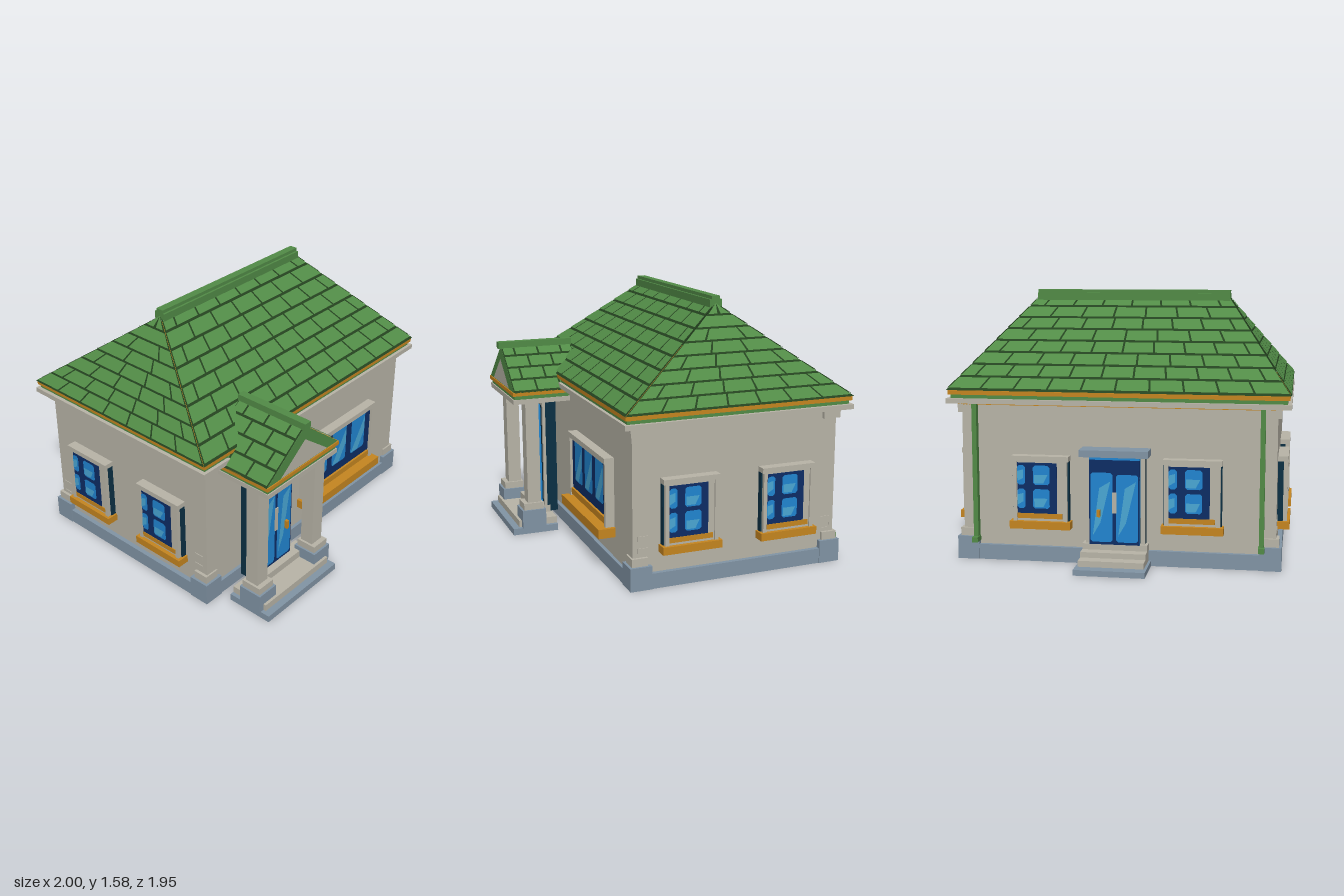
import * as THREE from 'three';

const mat = (name, color, side = THREE.FrontSide) => {
  const m = new THREE.MeshStandardMaterial({ color, side });
  m.name = name;
  return m;
};
const M = {
  wall: mat('stone', 0xb9b5a8),
  plinth: mat('blue grey stone', 0x8295a6),
  tile: mat('roof green', 0x528c47, THREE.DoubleSide),
  joint: mat('dark roof joint', 0x24421f, THREE.DoubleSide),
  orange: mat('ochre trim', 0xc68620),
  navy: mat('navy glass', 0x0d2d66),
  shade: mat('dark teal reveal', 0x0b3044),
  blue: mat('blue glass', 0x2186d2),
  light: mat('light blue glint', 0x4aa8d6),
};
const v = (x, y, z) => new THREE.Vector3(x, y, z);

function add(parent, name, geo, material) {
  const mesh = new THREE.Mesh(geo, material);
  mesh.name = name;
  parent.add(mesh);
  return mesh;
}
// Box given by its two extreme corners
function box(parent, name, material, x0, x1, y0, y1, z0, z1) {
  const m = add(parent, name, new THREE.BoxGeometry(x1 - x0, y1 - y0, z1 - z0), material);
  m.position.set((x0 + x1) / 2, (y0 + y1) / 2, (z0 + z1) / 2);
  return m;
}
function group(parent, name) {
  const g = new THREE.Group();
  g.name = name;
  parent.add(g);
  return g;
}
// Flat polygon facing +z
function plate(parent, name, material, pts, z) {
  const s = new THREE.Shape(pts.map(([x, y]) => new THREE.Vector2(x, y)));
  add(parent, name, new THREE.ShapeGeometry(s), material).position.z = z;
}
// Glass pane with clipped corners
function pane(parent, x0, x1, y0, y1, z) {
  const c = 0.012;
  plate(parent, 'pane', M.blue, [[x0 + c, y0], [x1 - c, y0], [x1, y0 + c], [x1, y1 - c],
    [x1 - c, y1], [x0 + c, y1], [x0, y1 - c], [x0, y0 + c]], z);
}
function quads(list) {
  const pos = [];
  for (const [a, b, c, d] of list) for (const p of [a, b, c, a, c, d]) pos.push(p.x, p.y, p.z);
  const g = new THREE.BufferGeometry();
  g.setAttribute('position', new THREE.Float32BufferAttribute(pos, 3));
  g.computeVertexNormals();
  return g;
}
// Tiled slope: a and b are the lower corners, c and d the upper right and upper left
function slope(parent, name, a, b, c, d, rows, tileWidth) {
  const n = b.clone().sub(a).cross(d.clone().sub(a)).normalize();
  const at = (u, t, h) => a.clone().lerp(b, u).lerp(d.clone().lerp(c, u), t).addScaledVector(n, h);
  const tiles = [];
  const low = a.distanceTo(b), high = d.distanceTo(c), run = a.distanceTo(d);
  for (let r = 0; r < rows; r++) {
    const t0 = (r + 0.14) / rows, t1 = (r + 1) / rows;
    const w = low + (high - low) * (r + 0.5) / rows;
    const count = Math.max(1, Math.round(w / tileWidth));
    const g = 0.006 / w;
    const shift = r % 2 ? 0.5 : 0;
    for (let k = 0; k < count + (shift ? 1 : 0); k++) {
      const u0 = Math.max(0, (k - shift) / count) + g;
      const u1 = Math.min(1, (k + 1 - shift) / count) - g;
      if (u1 > u0) tiles.push([at(u0, t0, 0.008), at(u1, t0, 0.008), at(u1, t1, 0.005), at(u0, t1, 0.005)]);
    }
  }
  add(parent, name + 'Joints', quads([[at(0, 0, 0.002), at(1, 0, 0.002), at(1, 1, 0.002), at(0, 1, 0.002)]]), M.joint);
  add(parent, name + 'Tiles', quads(tiles), M.tile);
}

// Small window facing +z, its back on z = 0
function smallWindow(parent, name) {
  const g = group(parent, name);
  box(g, 'reveal', M.shade, -0.168, 0.168, 0.25, 0.61, 0, 0.035);
  box(g, 'frame', M.wall, -0.16, 0.16, 0.25, 0.61, 0.03, 0.05);
  box(g, 'lintel', M.wall, -0.17, 0.17, 0.605, 0.635, 0, 0.062);
  for (const s of [-1, 1]) box(g, 'jamb', M.wall, s * 0.15 - 0.011, s * 0.15 + 0.011, 0.25, 0.61, 0.04, 0.06);
  box(g, 'sill', M.orange, -0.18, 0.18, 0.205, 0.25, 0, 0.075);
  box(g, 'innerSill', M.orange, -0.136, 0.13, 0.265, 0.295, 0.045, 0.056);
  box(g, 'glass', M.navy, -0.136, 0.1, 0.295, 0.595, 0.045, 0.053);
  for (const y of [0.325, 0.465]) {
    pane(g, -0.136, -0.088, y, y + 0.115, 0.055);
    pane(g, -0.042, 0.057, y, y + 0.115, 0.055);
    plate(g, 'glint', M.light, [[-0.135, y + 0.02], [-0.1, y + 0.04], [-0.1, y + 0.09], [-0.135, y + 0.08]], 0.057);
    plate(g, 'glint', M.light, [[-0.035, y + 0.01], [0.02, y + 0.01], [0.045, y + 0.06], [-0.035, y + 0.06]], 0.057);
  }
  return g;
}
// Glazed door face centred on x = 0, facing +z at depth z
function doorFace(parent, w, y0, y1, z) {
  const g = group(parent, 'doorLeaf');
  box(g, 'doorEdge', M.blue, -w, w, y0, y1, z - 0.022, z);
  box(g, 'doorFace', M.navy, -w, w, y0, y1 - 0.02, z - 0.004, z + 0.002);
  const h = y1 - y0, top = y0 + h * 0.8;
  for (const s of [-1, 1]) {
    const x0 = s < 0 ? -w + 0.008 : 0.01, x1 = s < 0 ? -0.01 : w - 0.008, d = x1 - x0;
    pane(g, x0, x1, y0 + 0.015, top + (s < 0 ? 0.01 : 0), z + 0.004);
    plate(g, 'glint', M.light, [[x0 + d * 0.1, y0 + h * 0.1], [x0 + d * 0.45, y0 + h * 0.25],
      [x0 + d * 0.9, top - 0.04], [x0 + d * 0.4, top - 0.08]], z + 0.006);
  }
  box(g, 'pull', M.wall, -0.013, 0.013, y0 + h * 0.36, y0 + h * 0.6, z, z + 0.008);
  box(g, 'handle', M.orange, w * 0.55, w * 0.68, y0 + h * 0.32, y0 + h * 0.4, z, z + 0.025);
  return g;
}

function walls(house) {
  const g = group(house, 'walls');
  box(g, 'plinth', M.plinth, -0.95, 0.95, 0, 0.09, -0.715, 0.6);
  box(g, 'wallBlock', M.wall, -0.922, 0.922, 0.09, 0.945, -0.69, 0.58);
  for (const sx of [-1, 1]) for (const [z, sz] of [[0.6, 1], [-0.715, -1]]) {
    // Corner block: x and z run inwards from the outer corner
    const corner = (name, m, inset, len, y0, y1) => {
      const xs = [sx * (0.955 - inset), sx * (0.955 - len)].sort((p, q) => p - q);
      const zs = [z + sz * (0.005 - inset), z + sz * (0.005 - len)].sort((p, q) => p - q);
      box(g, name, m, xs[0], xs[1], y0, y1, zs[0], zs[1]);
    };
    corner('cornerPlinth', M.plinth, 0, 0.13, 0, 0.137);
    corner('cornerFoot', M.wall, 0.015, 0.11, 0.137, 0.185);
    corner('cornerCapital', M.wall, 0.012, 0.12, 0.88, 0.928);
    for (const y of [0.21, 0.28])
      box(g, 'cornerStone', M.wall, sx > 0 ? 0.92 : -0.926, sx > 0 ? 0.926 : -0.92, y, y + 0.028, z - sz * 0.11, z - sz * 0.05);
  }
  box(g, 'topBand', M.orange, -0.945, 0.945, 0.925, 0.94, -0.708, 0.598);
  // Drainpipes at the back
  for (const s of [-1, 1]) {
    box(g, 'drainpipe', M.tile, s * 0.84 - 0.014, s * 0.84 + 0.014, 0.13, 0.94, -0.73, -0.69);
    box(g, 'drainFoot', M.tile, s * 0.84 - 0.018, s * 0.84 + 0.018, 0.11, 0.14, -0.76, -0.69);
  }
}

function mainRoof(house) {
  const g = group(house, 'mainRoof');
  box(g, 'cornice', M.wall, -0.998, 0.998, 0.936, 0.965, -0.762, 0.645);
  box(g, 'gutter', M.tile, -0.975, 0.975, 0.965, 0.987, -0.742, 0.625);
  box(g, 'eaveBand', M.orange, -0.988, 0.988, 0.987, 1.012, -0.755, 0.638);
  const y = 1.012, zf = 0.642, zb = -0.76;
  const p = [v(-0.995, y, zf), v(0.995, y, zf), v(0.995, y, zb), v(-0.995, y, zb)];
  const l = v(-0.6, 1.535, -0.058), r = v(0.6, 1.535, -0.058);
  slope(g, 'front', p[0], p[1], r, l, 8, 0.185);
  slope(g, 'right', p[1], p[2], r, r, 8, 0.185);
  slope(g, 'back', p[2], p[3], l, r, 8, 0.185);
  slope(g, 'left', p[3], p[0], l, l, 8, 0.185);
  box(g, 'ridgeCap', M.tile, -0.605, 0.605, 1.515, 1.56, -0.096, -0.02);
  box(g, 'ridgeTop', M.tile, -0.605, 0.605, 1.56, 1.58, -0.083, -0.033);
}

function porch(house) {
  const g = group(house, 'porch');
  g.position.x = -0.515;
  box(g, 'slab', M.plinth, -0.315, 0.315, 0, 0.042, 0.68, 0.973);
  box(g, 'floor', M.wall, -0.29, 0.29, 0.042, 0.085, 0.68, 0.93);
  box(g, 'doorStep', M.wall, -0.18, 0.18, 0.085, 0.13, 0.69, 0.8);
  for (const s of [-1, 1]) {
    const c = group(g, 'column');
    c.position.x = s * 0.252;
    box(c, 'pedestal', M.plinth, -0.072, 0.072, 0.042, 0.157, 0.76, 0.913);
    box(c, 'columnFoot', M.wall, -0.06, 0.06, 0.157, 0.2, 0.772, 0.9);
    box(c, 'shaft', M.wall, -0.045, 0.045, 0.2, 0.86, 0.785, 0.87);
  }
  // Front door
  box(g, 'doorReveal', M.shade, -0.178, 0.178, 0.09, 0.86, 0.64, 0.712);
  for (const s of [-1, 1]) box(g, 'doorFrame', M.wall, s * 0.168 - 0.012, s * 0.168 + 0.012, 0.13, 0.85, 0.71, 0.728);
  box(g, 'doorHead', M.wall, -0.18, 0.18, 0.8, 0.85, 0.71, 0.728);
  doorFace(g, 0.142, 0.13, 0.8, 0.753);
  // Entablature and gabled roof
  box(g, 'beam', M.wall, -0.305, 0.305, 0.85, 0.88, 0.58, 0.945);
  box(g, 'beamBand', M.tile, -0.3, 0.3, 0.88, 0.905, 0.58, 0.938);
  box(g, 'beamTrim', M.orange, -0.315, 0.315, 0.905, 0.928, 0.58, 0.95);
  const tri = new THREE.Shape([new THREE.Vector2(-0.315, 0.925), new THREE.Vector2(0.315, 0.925), new THREE.Vector2(0, 1.175)]);
  add(g, 'gable', new THREE.ExtrudeGeometry(tri, { depth: 0.46, bevelEnabled: false }), M.tile).position.z = 0.483;
  plate(g, 'pediment', M.wall, [[-0.205, 0.935], [0.205, 0.935], [0, 1.092]], 0.948);
  const top = (z) => v(0, 1.175, z);
  slope(g, 'porchRight', v(0.315, 0.925, 0.943), v(0.315, 0.925, 0.483), top(0.483), top(0.943), 4, 0.155);
  slope(g, 'porchLeft', v(-0.315, 0.925, 0.483), v(-0.315, 0.925, 0.943), top(0.943), top(0.483), 4, 0.155);
  box(g, 'porchRidge', M.tile, -0.024, 0.024, 1.16, 1.203, 0.48, 0.963);
}

function frontWindow(house) {
  const g = group(house, 'frontWindow');
  box(g, 'frame', M.wall, -0.075, 0.625, 0.275, 0.66, 0.575, 0.615);
  box(g, 'lintel', M.wall, -0.075, 0.625, 0.655, 0.688, 0.575, 0.64);
  for (const x of [-0.075, 0.6]) box(g, 'jamb', M.wall, x, x + 0.025, 0.275, 0.66, 0.575, 0.635);
  box(g, 'sill', M.orange, -0.092, 0.642, 0.218, 0.273, 0.575, 0.683);
  box(g, 'glass', M.navy, -0.055, 0.6, 0.28, 0.655, 0.61, 0.618);
  box(g, 'innerSill', M.orange, -0.04, 0.59, 0.288, 0.328, 0.61, 0.632);
  for (const x of [0.005, 0.2, 0.4]) {
    pane(g, x, x + 0.145, 0.388, 0.65, 0.62);
    plate(g, 'glint', M.light, [[x + 0.004, 0.396], [x + 0.075, 0.396], [x + 0.141, 0.51], [x + 0.141, 0.62]], 0.622);
  }
}

function backDoor(house) {
  const g = group(house, 'backEntrance');
  g.rotation.y = Math.PI;
  box(g, 'slab', M.plinth, -0.205, 0.205, 0, 0.033, 0.7, 0.973);
  [[0.905, 0.068], [0.835, 0.1], [0.77, 0.135]].forEach(([z, y]) => box(g, 'step', M.wall, -0.19, 0.19, 0.03, y, 0.7, z));
  box(g, 'doorReveal', M.shade, -0.175, 0.175, 0.13, 0.65, 0.68, 0.73);
  for (const s of [-1, 1]) box(g, 'doorFrame', M.wall, s * 0.16 - 0.013, s * 0.16 + 0.013, 0.13, 0.65, 0.725, 0.75);
  const door = doorFace(g, 0.147, 0.135, 0.65, 0.775);
  door.getObjectByName('handle').position.x *= -1;
  box(g, 'canopy', M.plinth, -0.2, 0.2, 0.65, 0.69, 0.68, 0.815);
}

export function createModel() {
  const house = new THREE.Group();
  house.name = 'house';
  walls(house);
  mainRoof(house);
  porch(house);
  frontWindow(house);
  backDoor(house);
  // Small windows on both sides and the back
  for (const s of [-1, 1]) for (const z of [0.245, -0.36]) {
    const w = smallWindow(house, 'sideWindow');
    w.position.set(s * 0.92, 0, z);
    w.rotation.y = s * Math.PI / 2;
  }
  for (const x of [-0.445, 0.445]) {
    const w = smallWindow(house, 'backWindow');
    w.position.set(x, 0, -0.688);
    w.rotation.y = Math.PI;
  }
  return house;
}
